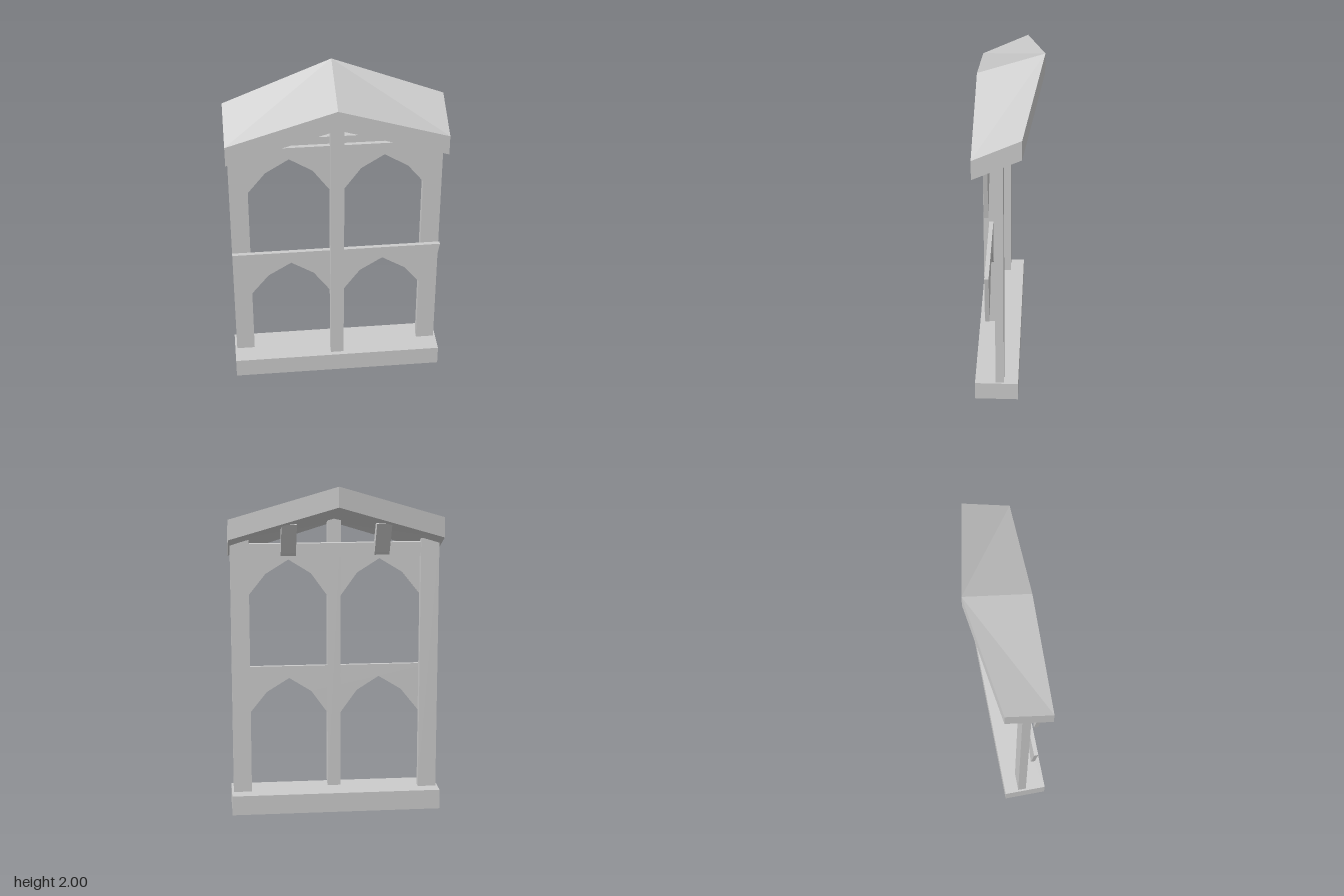
import * as THREE from 'three';

const stone = new THREE.MeshStandardMaterial({ color: 0xcccccc });
stone.name = 'pale grey';

export function createModel() {
  const group = new THREE.Group();
  group.name = 'gabledFrame';

  const add = (name, geometry) => {
    const mesh = new THREE.Mesh(geometry, stone);
    mesh.name = name;
    group.add(mesh);
    return mesh;
  };
  // Box given by its limits on each axis
  const box = (name, x0, x1, y0, y1, z0, z1) =>
    add(name, new THREE.BoxGeometry(x1 - x0, y1 - y0, z1 - z0))
      .position.set((x0 + x1) / 2, (y0 + y1) / 2, (z0 + z1) / 2);

  // Base slab, posts and the rail behind the upper arches
  box('base', -0.637, 0.637, 0, 0.12, -0.065, 0.193);
  box('centrePost', -0.04, 0.04, 0.12, 1.8, 0.095, 0.165);
  box('leftPost', 0.515, 0.625, 0.12, 1.67, 0.02, 0.07);
  box('rightPost', -0.625, -0.515, 0.12, 1.67, 0.02, 0.07);
  box('topRail', -0.517, 0.517, 1.56, 1.645, 0.035, 0.078);

  // Double-arched panels, mirrored about the centre post
  const half = [[0.625, 0], [0.565, -0.35], [0.413, -0.16], [0.275, -0.075], [0.14, -0.16], [0, -0.355]];
  const outline = [...half, ...half.slice(0, -1).reverse().map(([x, y]) => [-x, y])];
  const panel = new THREE.Shape(outline.map(([x, y]) => new THREE.Vector2(x, y)));
  [['lowerArches', 0.885], ['upperArches', 1.615]].forEach(([name, y]) => {
    add(name, new THREE.ExtrudeGeometry(panel, { depth: 0.025, bevelEnabled: false }))
      .position.set(0, y, 0.105);
  });

  // Slanted struts from the rail up to the roof; profile is (-z, y)
  const strut = new THREE.Shape([[-0.04, 1.565], [-0.02, 1.59], [0.085, 1.77], [0.02, 1.77], [-0.06, 1.64]]
    .map(([x, y]) => new THREE.Vector2(x, y)));
  [['leftStrut', 0.235], ['rightStrut', -0.325]].forEach(([name, x]) => {
    const geometry = new THREE.ExtrudeGeometry(strut, { depth: 0.09, bevelEnabled: false });
    geometry.rotateY(Math.PI / 2);
    add(name, geometry).position.x = x;
  });

  add('roof', roofGeometry());
  return group;
}

// Thick gabled canopy rising to the back, from three cross-sections along x
function roofGeometry() {
  const thick = 0.12, front = 0.193;
  const sections = [[-0.637, 1.675, -0.082], [0, 1.87, -0.193], [0.637, 1.675, -0.082]];
  const positions = [];
  for (const [x, y, back] of sections) {
    positions.push(x, y - thick, front, x, y, front, x, y + 0.13, back, x, y + 0.13 - thick, back);
  }
  const index = [0, 1, 2, 0, 2, 3, 11, 10, 9, 11, 9, 8];
  for (let s = 0; s < 2; s++) {
    for (let k = 0; k < 4; k++) {
      const a = s * 4 + k, b = s * 4 + (k + 1) % 4, c = b + 4, d = a + 4;
      // Diagonals mirror each other across the ridge
      if (s === 0) index.push(a, d, c, a, c, b);
      else index.push(a, d, b, d, c, b);
    }
  }
  const indexed = new THREE.BufferGeometry();
  indexed.setAttribute('position', new THREE.Float32BufferAttribute(positions, 3));
  indexed.setIndex(index);
  const geometry = indexed.toNonIndexed();
  geometry.computeVertexNormals();
  return geometry;
}
